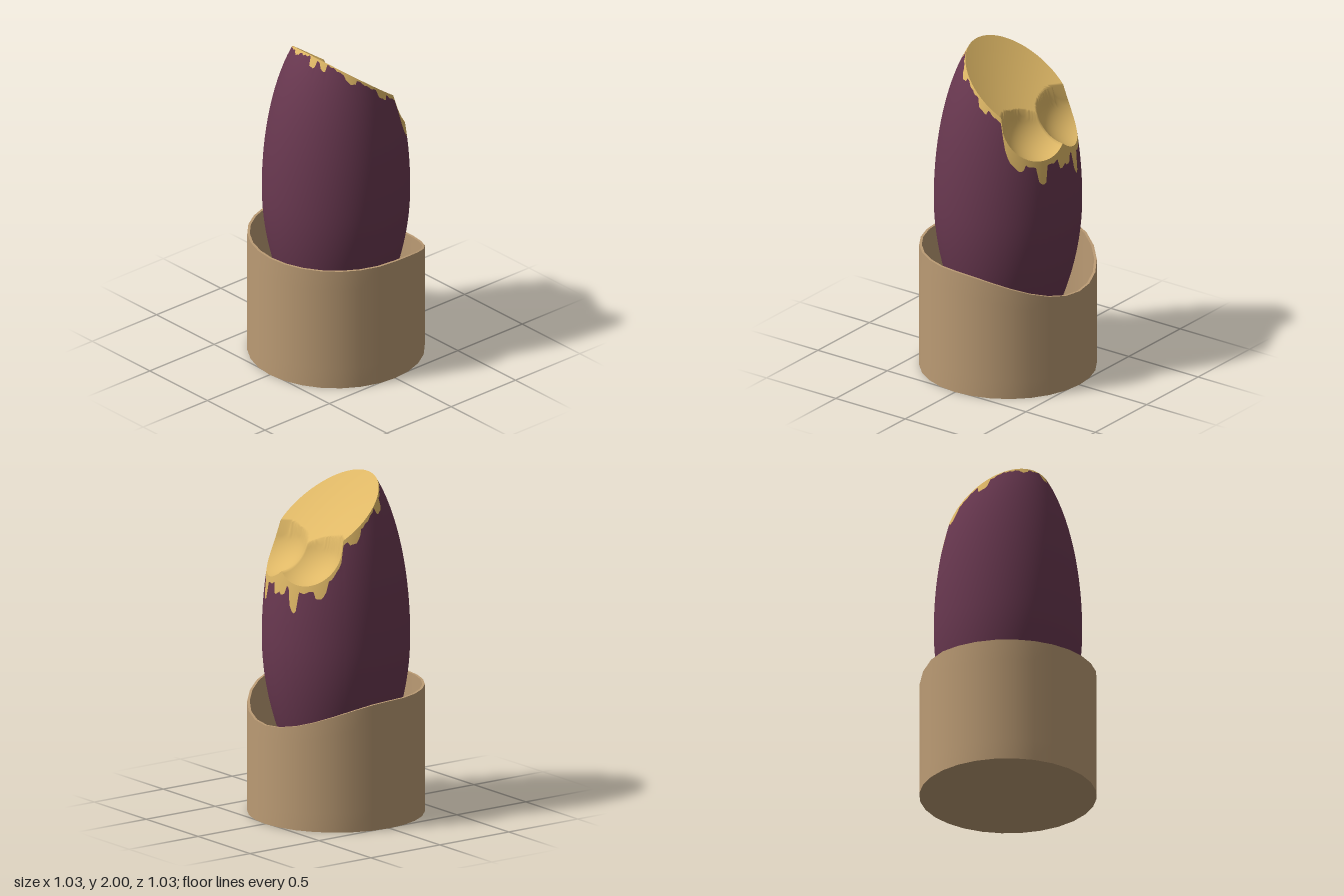
import * as THREE from 'three';

const COLS = 168;

// Closed band of quads: point(angle, t) with angle 0 at the front, t from 0 to 1
function band(point, rows, cols = COLS) {
  const pos = [], index = [];
  for (let j = 0; j <= rows; j++)
    for (let i = 0; i < cols; i++) pos.push(...point((i / cols) * Math.PI * 2, j / rows, i));
  for (let j = 0; j < rows; j++)
    for (let i = 0; i < cols; i++) {
      const n = (i + 1) % cols;
      const a = j * cols + i, b = j * cols + n, c = b + cols, d = a + cols;
      index.push(a, b, c, a, c, d);
    }
  const g = new THREE.BufferGeometry();
  g.setAttribute('position', new THREE.Float32BufferAttribute(pos, 3));
  g.setIndex(index);
  g.computeVertexNormals();
  return g;
}

// Radius of the tapering body at a height
function bodyRadius(y) {
  if (y > 1.05) return 0.43 * Math.sqrt(Math.max(0, 1 - ((y - 1.05) / 1.115) ** 2));
  return Math.max(0.3, 0.43 - 0.3 * (1.05 - y) ** 2);
}

// Height of the bitten top: a dished slope with two round bites at the back
function biteHeight(x, z) {
  const e = (x / 0.34) ** 2 + ((z + 0.07) / 0.3) ** 2;
  const slope = 1.835 + 0.73 * z - 0.06 * Math.max(0, 1 - e);
  const q = 0.26 ** 2 - (Math.abs(x) - 0.17) ** 2 - (z + 0.4) ** 2;
  return q > 0 ? Math.min(slope, 1.69 - Math.sqrt(q)) : slope;
}

// Height at which the body wall meets the bite
function rimHeight(a) {
  const above = y => y > biteHeight(bodyRadius(y) * Math.sin(a), bodyRadius(y) * Math.cos(a));
  let lo = 1.2;
  while (!above(lo + 0.01) && lo < 2.1) lo += 0.01;
  let hi = lo + 0.01;
  for (let k = 0; k < 20; k++) {
    const mid = (lo + hi) / 2;
    if (above(mid)) hi = mid; else lo = mid;
  }
  return lo;
}

// Ragged drips: [angle, half width, depth]
const DRIPS = [
  [0.25, 0.09, 0.05], [0.55, 0.07, 0.04], [-0.35, 0.12, 0.025], [1.15, 0.12, 0.04],
  [1.75, 0.1, 0.04], [2.3, 0.14, 0.07], [2.72, 0.08, 0.11], [3.14, 0.14, 0.08],
  [3.43, 0.08, 0.13], [3.85, 0.1, 0.07], [4.4, 0.1, 0.05], [5.03, 0.11, 0.05],
];
function dripDepth(a) {
  const back = (1 - Math.cos(a)) / 2;
  let d = 0.01 + 0.03 * back * back + 0.008 * Math.sin(a * 17) * Math.sin(a * 29 + 1);
  for (const [c, w, depth] of DRIPS) {
    const off = Math.abs(Math.atan2(Math.sin(a - c), Math.cos(a - c)));
    if (off < w) d += depth * (1 - 0.4 * (off / w) ** 2);
  }
  return Math.max(0.004, d);
}

// Holder lip: level at the front, dropping in a curve towards the back
const lipHeight = z => (z >= 0 ? 0.76 : 0.76 - 0.17 * (-z / 0.515) ** 1.85);

export function createModel() {
  const group = new THREE.Group();
  const plum = new THREE.MeshStandardMaterial({ color: 0x693850 });
  const gold = new THREE.MeshStandardMaterial({ color: 0xdfb866 });
  const tan = new THREE.MeshStandardMaterial({ color: 0xbb9b74 });
  const materials = { plum, gold, tan };
  for (const k in materials) materials[k].name = k;

  const add = (name, geometry, material, parent = group) => {
    const m = new THREE.Mesh(geometry, material);
    m.name = name;
    parent.add(m);
    return m;
  };

  // Rim and drip heights for each column
  const rims = [], edges = [];
  for (let i = 0; i < COLS; i++) {
    const a = (i / COLS) * Math.PI * 2;
    rims.push(rimHeight(a));
    edges.push(rims[i] - dripDepth(a));
  }
  const onBody = (a, y) => [bodyRadius(y) * Math.sin(a), y, bodyRadius(y) * Math.cos(a)];

  // Body skin, gold edge and bitten flesh
  add('bodySkin', band((a, t, i) => onBody(a, 0.02 + (edges[i] - 0.02) * t), 36), plum);
  add('biteDrips', band((a, t, i) => onBody(a, edges[i] + (rims[i] - edges[i]) * t), 3), gold);
  add('biteSurface', band((a, t, i) => {
    const [x, y, z] = onBody(a, rims[i]);
    const s = 1 - t;
    return [x * s, t === 0 ? y : biteHeight(x * s, z * s), z * s];
  }, 40), gold);

  // Thin open cup around the base
  const holder = new THREE.Group();
  holder.name = 'holder';
  group.add(holder);
  const SIDES = 28, OUT = 0.515, IN = 0.5;
  const ring = (a, r, y) => [r * Math.sin(a), y, r * Math.cos(a)];
  const lip = a => lipHeight(OUT * Math.cos(a));
  add('holderOuterWall', band((a, t) => ring(a, OUT, lip(a) * t), 6, SIDES), tan, holder);
  add('holderLip', band((a, t) => ring(a, OUT + (IN - OUT) * t, lip(a)), 1, SIDES), tan, holder);
  add('holderInnerWall', band((a, t) => ring(a, IN, lip(a) + (0.02 - lip(a)) * t), 6, SIDES), tan, holder);
  add('holderFloor', band((a, t) => ring(a, IN * (1 - t), 0.02), 1, SIDES), tan, holder);
  add('holderBase', band((a, t) => ring(a, OUT * t, 0), 1, SIDES), tan, holder);

  return group;
}
